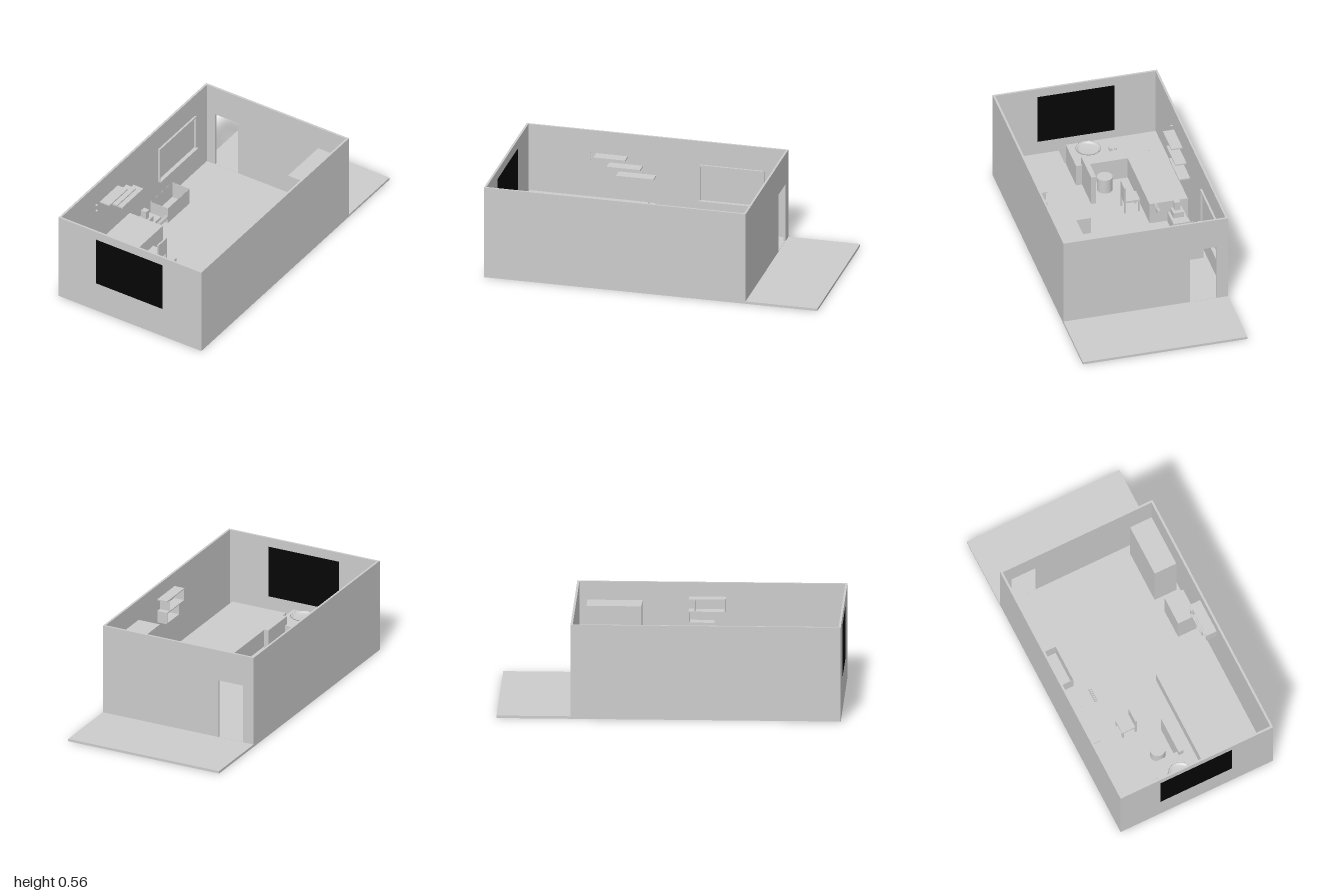
import * as THREE from 'three';

export function createModel() {
  const model = new THREE.Group();
  const grey = new THREE.MeshStandardMaterial({ color: 0xcccccc });
  const thin = new THREE.MeshStandardMaterial({ color: 0xcccccc, side: THREE.DoubleSide });
  const black = new THREE.MeshStandardMaterial({ color: 0x050505 });

  const add = (name, geometry, material = grey, parent = model) => {
    const mesh = new THREE.Mesh(geometry, material);
    mesh.name = name;
    parent.add(mesh);
    return mesh;
  };
  // Box given by its limits on each axis
  const box = (name, [x0, x1], [y0, y1], [z0, z1], material = grey, parent = model) => {
    const mesh = add(name, new THREE.BoxGeometry(x1 - x0, y1 - y0, z1 - z0), material, parent);
    mesh.position.set((x0 + x1) / 2, (y0 + y1) / 2, (z0 + z1) / 2);
    return mesh;
  };
  const group = (name) => {
    const g = new THREE.Group();
    g.name = name;
    model.add(g);
    return g;
  };
  const rect = (Type, x0, x1, y0, y1) => new Type([[x0, y0], [x1, y0], [x1, y1], [x0, y1]]
    .map(([x, y]) => new THREE.Vector2(x, y)));

  const W = 0.495, T = 0.013, H = 0.565, F = 0.015, BACK = -0.57;

  // Floor slab, running on behind the room as a terrace
  box('floor', [-W, W], [0, F], [-1, 1]);

  // Side walls
  for (const s of [-1, 1]) {
    const wall = box('sideWall', [W - T, W], [F, H], [BACK, 1]);
    wall.position.x *= s;
  }
  // End walls with a window and a door opening
  const endWall = (name, z, hole) => {
    const shape = rect(THREE.Shape, -W + T, W - T, F, H);
    shape.holes.push(rect(THREE.Path, ...hole));
    const wall = add(name, new THREE.ExtrudeGeometry(shape, { depth: T, bevelEnabled: false }));
    wall.position.z = z;
  };
  endWall('frontWall', 1 - T, [-0.235, 0.227, 0.195, 0.51]);
  endWall('backWall', BACK, [-0.425, -0.265, F + 0.001, 0.375]);
  box('frontWindow', [-0.235, 0.227], [0.195, 0.51], [1 - T - 0.001, 1], black);

  // Framed window on the left-hand wall, with a deep sill
  const frame = group('wallWindow');
  box('frameTop', [-0.482, -0.47], [0.41, 0.42], [-0.43, -0.04], grey, frame);
  box('frameSill', [-0.482, -0.458], [0.185, 0.197], [-0.43, -0.04], grey, frame);
  for (const z of [-0.43, -0.048]) {
    box('frameSide', [-0.482, -0.47], [0.197, 0.41], [z, z + 0.008], grey, frame);
  }

  // Tall cabinet, dresser and bed
  box('tallCabinet', [0.32, 0.46], [F, 0.46], [-0.51, -0.19]);
  box('dresser', [0.34, 0.46], [F, 0.24], [-0.1, 0.075]);
  box('bed', [0.105, 0.458], [F, 0.12], [0.26, 0.972]);

  // Staggered open shelves above the bed
  const shelf = group('wallShelf');
  const X = [0.415, 0.48], t = 0.006;
  for (const [y, z0, z1] of [[0.474, 0.08, 0.295], [0.4, 0.08, 0.295], [0.334, 0.08, 0.235]]) {
    box('shelfBoard', X, [y, y + t], [z0, z1], grey, shelf);
  }
  for (const [z, y0, y1] of [[0.112, 0.406, 0.474], [0.289, 0.406, 0.474], [0.08, 0.34, 0.4], [0.229, 0.34, 0.4]]) {
    box('shelfUpright', X, [y0, y1], [z, z + t], grey, shelf);
  }

  // Stepped boards on the opposite wall
  for (const [y, z0, z1] of [[0.425, 0.39, 0.58], [0.375, 0.3, 0.5], [0.324, 0.22, 0.444]]) {
    box('wallBoard', [-0.482, -0.415], [y - 0.008, y], [z0, z1]);
  }
  // Wall hooks
  for (const y of [0.385, 0.425]) {
    const hook = add('wallHook', new THREE.CylinderGeometry(0.006, 0.006, 0.012, 12));
    hook.rotation.z = Math.PI / 2;
    hook.position.set(-0.477, y, 0.62);
  }

  // Open bin without a lid
  const bin = group('openBin');
  for (const x of [-0.46, -0.341]) box('binSide', [x, x + 0.001], [F, 0.12], [-0.155, 0.075], thin, bin);
  for (const z of [-0.155, 0.074]) box('binEnd', [-0.46, -0.34], [F, 0.12], [z, z + 0.001], thin, bin);

  // Stacked boxes beside the counter
  box('lowerBox', [-0.45, -0.355], [F, 0.085], [0.125, 0.25]);
  box('middleBox', [-0.435, -0.37], [0.085, 0.12], [0.18, 0.24]);
  box('upperBox', [-0.42, -0.385], [0.12, 0.175], [0.205, 0.237]);

  // L-shaped counter
  const C = 0.15;
  const corners = [[-0.48, -0.265], [-0.25, -0.265], [-0.25, -0.75], [0.06, -0.75], [0.06, -0.977], [-0.48, -0.977]];
  const counter = add('counter', new THREE.ExtrudeGeometry(
    new THREE.Shape(corners.map(([x, y]) => new THREE.Vector2(x, y))), { depth: C - F, bevelEnabled: false }));
  counter.rotation.x = -Math.PI / 2;
  counter.position.y = F;

  // Round bowl on the counter
  const profile = [[0, 0.002], [0.05, 0.002], [0.075, 0.016], [0.07, 0.018], [0.06, 0.012], [0.055, 0.006], [0, 0.006]];
  const bowl = add('bowl', new THREE.LatheGeometry(profile.map(([r, y]) => new THREE.Vector2(r, y)), 40), thin);
  bowl.position.set(-0.05, C, 0.888);

  // Small things on the counter
  box('smallBlock', [-0.185, -0.167], [C, C + 0.018], [0.845, 0.865]);
  box('tinyBlock', [-0.212, -0.2], [C, C + 0.012], [0.85, 0.862]);
  const stick = box('stick', [-0.401, -0.397], [C, C + 0.004], [0.79, 0.855]);
  stick.rotation.y = -0.3;

  // Row of pegs at the counter's end
  for (let i = 0; i < 7; i++) {
    box('peg', [-0.292, -0.274], [C - 0.02, C + 0.004], [0.177 + i * 0.013, 0.184 + i * 0.013]);
  }
  box('pegRail', [-0.286, -0.28], [C - 0.02, C - 0.01], [0.175, 0.267]);

  // Chair, stool and upright panel between counter and bed
  box('chairSeat', [-0.23, -0.135], [0.085, 0.097], [0.4, 0.49]);
  box('chairBack', [-0.145, -0.135], [0.097, 0.19], [0.4, 0.49]);
  for (const x of [-0.23, -0.145]) for (const z of [0.4, 0.48]) {
    box('chairLeg', [x, x + 0.01], [F, 0.085], [z, z + 0.01]);
  }
  const stool = add('stool', new THREE.CylinderGeometry(0.046, 0.046, 0.09, 32));
  stool.position.set(-0.09, F + 0.045, 0.67);
  box('uprightPanel', [-0.005, 0.025], [F, 0.2], [0.545, 0.775]);

  return model;
}
